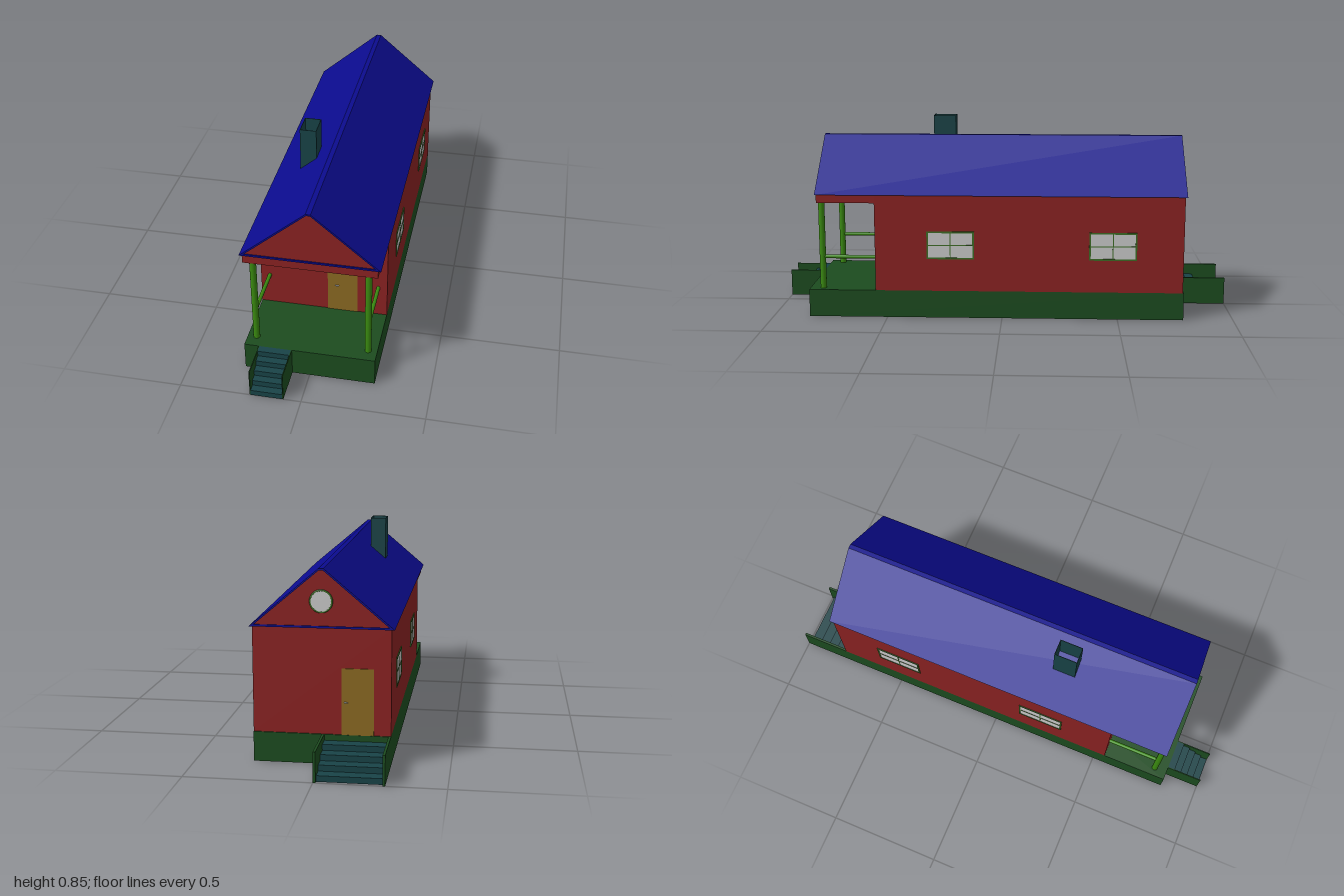
import * as THREE from 'three';

const mat = (color) => new THREE.MeshStandardMaterial({ color });
const M = {
  wall: mat(0x8b2222), roof: mat(0x0b0b8e), base: mat(0x1c4c1f), post: mat(0x3a8a10),
  stair: mat(0x184347), door: mat(0x8b6a22), frame: mat(0x3c6b24), glass: mat(0xcccccc),
};

// Named mesh added to a parent
function add(parent, name, geometry, material, x = 0, y = 0, z = 0) {
  const mesh = new THREE.Mesh(geometry, material);
  mesh.name = name;
  mesh.position.set(x, y, z);
  parent.add(mesh);
  return mesh;
}

// Box given by its extents on each axis
function box(parent, name, material, [x0, x1], [y0, y1], [z0, z1]) {
  return add(parent, name, new THREE.BoxGeometry(x1 - x0, y1 - y0, z1 - z0), material,
    (x0 + x1) / 2, (y0 + y1) / 2, (z0 + z1) / 2);
}

const group = (parent, name) => {
  const g = new THREE.Group();
  g.name = name;
  parent.add(g);
  return g;
};

const polygon = (C, pts) => new C(pts.map(([x, y]) => new THREE.Vector2(x, y)));
const extrude = (shape, depth) => new THREE.ExtrudeGeometry(shape, { depth, bevelEnabled: false, curveSegments: 24 });

// Flight of steps between two cheek walls, rising from z = run down to z = 0
function stairs(parent, name, width, run, count, cheek, lip) {
  const g = group(parent, name);
  const rise = 0.12 / 5, tread = (run - lip) / count, w = width / 2;
  for (let i = 0; i < count; i++) {
    box(g, 'step', M.stair, [-w + cheek, w - cheek], [i * rise, (i + 1) * rise], [0, run - lip - i * tread]);
  }
  for (const s of [-1, 1]) {
    add(g, 'stairCheek', new THREE.BoxGeometry(cheek, 0.12, run), M.base, s * (w - cheek / 2), 0.06, run / 2);
  }
  return g;
}

// Four-pane window facing +z
function paneWindow(parent) {
  const g = group(parent, 'window');
  const w = 0.205, h = 0.122, t = 0.007;
  add(g, 'glass', new THREE.BoxGeometry(w - t, h - t, 0.004), M.glass);
  for (const s of [-1, 1]) {
    add(g, 'frameSide', new THREE.BoxGeometry(t, h, 0.008), M.frame, s * (w - t) / 2);
    add(g, 'frameRail', new THREE.BoxGeometry(w, t, 0.008), M.frame, 0, s * (h - t) / 2);
  }
  add(g, 'mullion', new THREE.BoxGeometry(0.004, h, 0.007), M.frame);
  add(g, 'crossbar', new THREE.BoxGeometry(w, 0.004, 0.007), M.frame);
  return g;
}

// Door leaf with a lever handle, facing +z, standing on y = 0
function door(parent, name) {
  const g = group(parent, name);
  add(g, 'doorLeaf', new THREE.BoxGeometry(0.126, 0.265, 0.006), M.door, 0, 0.1325);
  add(g, 'doorHandle', new THREE.BoxGeometry(0.015, 0.004, 0.005), M.glass, -0.023, 0.131, 0.008);
  return g;
}

export function createModel() {
  const house = new THREE.Group();
  house.name = 'house';

  // Base, body and porch lintel
  box(house, 'foundation', M.base, [-0.27, 0.27], [0, 0.12], [-0.785, 0.842]);
  box(house, 'walls', M.wall, [-0.27, 0.27], [0.12, 0.542], [-0.78, 0.55]);
  box(house, 'porchCeiling', M.wall, [-0.27, 0.27], [0.505, 0.542], [0.55, 0.8]);

  // Roof shell with recessed gables
  const outer = polygon(THREE.Shape, [[-0.282, 0.541], [0.282, 0.541], [0.01, 0.771], [-0.01, 0.771]]);
  const inner = [[-0.262, 0.549], [0.262, 0.549], [0.008, 0.764], [-0.008, 0.764]];
  outer.holes.push(polygon(THREE.Path, inner));
  add(house, 'roof', extrude(outer, 1.593), M.roof, 0, 0, -0.788);
  add(house, 'gables', extrude(polygon(THREE.Shape, inner), 1.583), M.wall, 0, 0, -0.783);

  // Open chimney
  const flue = polygon(THREE.Shape, [[-0.0345, -0.05], [0.0345, -0.05], [0.0345, 0.05], [-0.0345, 0.05]]);
  flue.holes.push(polygon(THREE.Path, [[-0.0325, -0.048], [0.0325, -0.048], [0.0325, 0.048], [-0.0325, 0.048]]));
  add(house, 'chimney', extrude(flue, 0.2).rotateX(-Math.PI / 2), M.stair, -0.1075, 0.647, 0.272);

  // Porch posts and handrails, side windows
  for (const s of [-1, 1]) {
    add(house, 'porchPost', new THREE.CylinderGeometry(0.0135, 0.0135, 0.385, 24), M.post, s * 0.232, 0.3125, 0.785);
    add(house, 'porchRail', new THREE.CylinderGeometry(0.008, 0.008, 0.235, 16).rotateX(Math.PI / 2), M.post,
      s * 0.232, 0.26, 0.6675);
    for (const z of [0.223, -0.477]) {
      const w = paneWindow(house);
      w.position.set(s * 0.27, 0.323, z);
      w.rotation.y = s * Math.PI / 2;
    }
  }

  // Doors
  door(house, 'frontDoor').position.set(0.081, 0.12, 0.55);
  const backDoor = door(house, 'backDoor');
  backDoor.position.set(-0.14, 0.12, -0.781);
  backDoor.rotation.y = Math.PI;
  backDoor.getObjectByName('doorHandle').position.x = -0.045;

  // Round attic window in the back gable
  const attic = group(house, 'atticWindow');
  attic.position.set(0, 0.645, -0.785);
  add(attic, 'glass', new THREE.CylinderGeometry(0.041, 0.041, 0.006, 32).rotateX(Math.PI / 2), M.glass);
  add(attic, 'frame', new THREE.TorusGeometry(0.042, 0.004, 8, 32), M.frame);

  // Front and back stairs
  stairs(house, 'frontStairs', 0.138, 0.158, 5, 0.004, 0).position.set(-0.141, 0, 0.842);
  const back = stairs(house, 'backStairs', 0.27, 0.215, 4, 0.01, 0.014);
  back.position.set(-0.135, 0, -0.785);
  back.rotation.y = Math.PI;

  return house;
}
